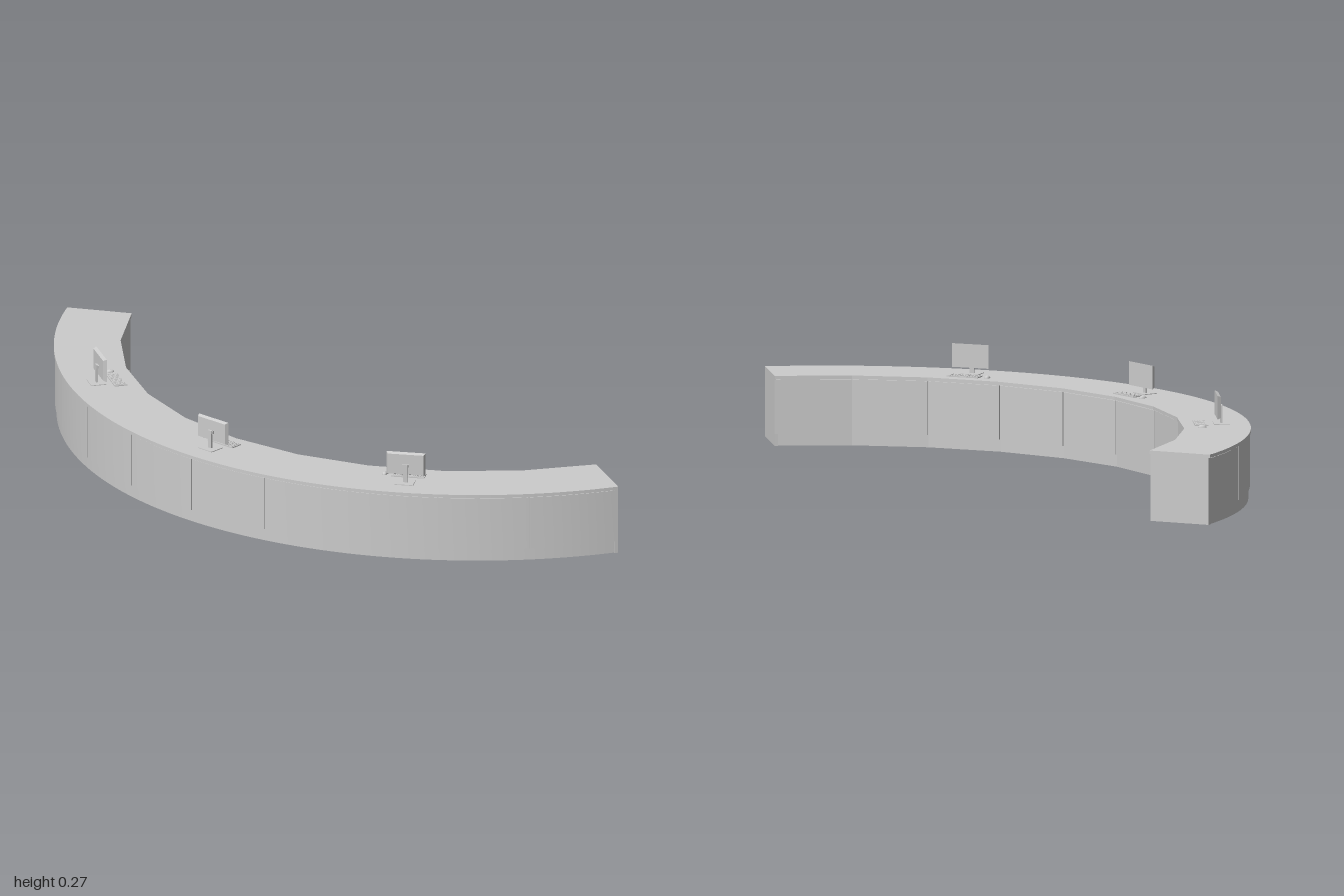
import * as THREE from 'three';
import { toCreasedNormals } from 'three/addons/utils/BufferGeometryUtils.js';

const CX = 0.791;                             // centre of the arc on x
const HALF = THREE.MathUtils.degToRad(61.94); // half of the swept angle
const BAYS = 10;
const STEP = (2 * HALF) / BAYS;

// Ring sector opening towards +x; each side has its own number of straight segments
function sector(r0, r1, a0, a1, y0, y1, n0, n1) {
  const pts = [];
  const at = (r, a) => new THREE.Vector2(-r * Math.cos(a), r * Math.sin(a));
  for (let i = 0; i <= n0; i++) pts.push(at(r0, a0 + ((a1 - a0) * i) / n0));
  for (let i = n1; i >= 0; i--) pts.push(at(r1, a0 + ((a1 - a0) * i) / n1));
  const geo = new THREE.ExtrudeGeometry(new THREE.Shape(pts), { depth: y1 - y0, bevelEnabled: false });
  geo.rotateX(Math.PI / 2).translate(CX, y1, 0);
  return toCreasedNormals(geo, 0.1);
}

export function createModel() {
  const grey = new THREE.MeshStandardMaterial({ color: 0xcccccc });
  grey.name = 'lightGrey';
  const model = new THREE.Group();
  model.name = 'curvedReceptionDesk';

  const add = (parent, name, geo, x = 0, y = 0, z = 0) => {
    const mesh = new THREE.Mesh(geo, grey);
    mesh.name = name;
    mesh.position.set(x, y, z);
    parent.add(mesh);
    return mesh;
  };

  // Countertop, and the thin walls forming plinth and backing
  add(model, 'countertop', sector(0.955, 1.133, -HALF, HALF, 0.181, 0.19, BAYS, 120));
  add(model, 'outerPlinth', sector(1.12, 1.126, -HALF, HALF, 0, 0.181, BAYS, 120));
  add(model, 'innerPlinth', sector(0.963, 0.969, -HALF, HALF, 0, 0.181, BAYS, BAYS));

  // Curved outer panels and flat inner doors, with narrow gaps between bays
  const outerPanels = new THREE.Group();
  const innerDoors = new THREE.Group();
  outerPanels.name = 'outerPanels';
  innerDoors.name = 'innerDoors';
  model.add(outerPanels, innerDoors);
  const gap = 0.0018;
  for (let i = 0; i < BAYS; i++) {
    const a0 = -HALF + i * STEP + (i > 0 ? gap : 0);
    const a1 = -HALF + (i + 1) * STEP - (i < BAYS - 1 ? gap : 0);
    add(outerPanels, 'outerPanel', sector(1.125, 1.13, a0, a1, 0.033, 0.179, 12, 12));
    add(innerDoors, 'innerDoor', sector(0.958, 0.964, a0, a1, 0.033, 0.179, 1, 1));
  }

  // End panels
  for (const s of [-1, 1]) {
    const a = s * HALF;
    const b = s * (HALF - 0.009);
    add(model, 'endPanel', sector(0.958, 1.13, Math.min(a, b), Math.max(a, b), 0, 0.181, 1, 1));
  }

  // Workstations, turned about the arc centre
  for (const deg of [-32, 0, 32]) {
    const station = new THREE.Group();
    station.name = 'workstation';
    station.position.x = CX;
    station.rotation.y = THREE.MathUtils.degToRad(deg);
    model.add(station);
    const put = (name, geo, x, y, z = 0) => add(station, name, geo, x - CX, y, z);

    // Screen: flat front with a tapered back
    const screen = new THREE.BoxGeometry(0.009, 0.064, 0.106);
    const p = screen.attributes.position;
    for (let i = 0; i < p.count; i++) {
      if (p.getX(i) < 0) p.setXYZ(i, p.getX(i), p.getY(i) * 0.88, p.getZ(i) * 0.92);
    }
    screen.computeVertexNormals();
    put('screen', screen, -0.2565, 0.24);

    // Stand
    put('standBase', new THREE.BoxGeometry(0.042, 0.002, 0.05), -0.266, 0.191);
    put('standPost', new THREE.BoxGeometry(0.005, 0.05, 0.012), -0.266, 0.216);
    put('standArm', new THREE.BoxGeometry(0.008, 0.008, 0.018), -0.263, 0.236);

    // Keyboard
    put('keyboard', new THREE.BoxGeometry(0.035, 0.003, 0.09), -0.21, 0.1915);
    const key = new THREE.BoxGeometry(0.0055, 0.0015, 0.0055);
    for (let r = 0; r < 4; r++) {
      for (let k = 0; k < 12; k++) {
        put('key', key, -0.221 + r * 0.0073, 0.1936, (k - 5.5) * 0.007);
      }
    }

    // Mouse
    const mouse = new THREE.SphereGeometry(1, 16, 6, 0, Math.PI * 2, 0, Math.PI / 2);
    mouse.scale(0.011, 0.007, 0.007);
    put('mouse', mouse, -0.21, 0.19, -0.066);
  }
  return model;
}
